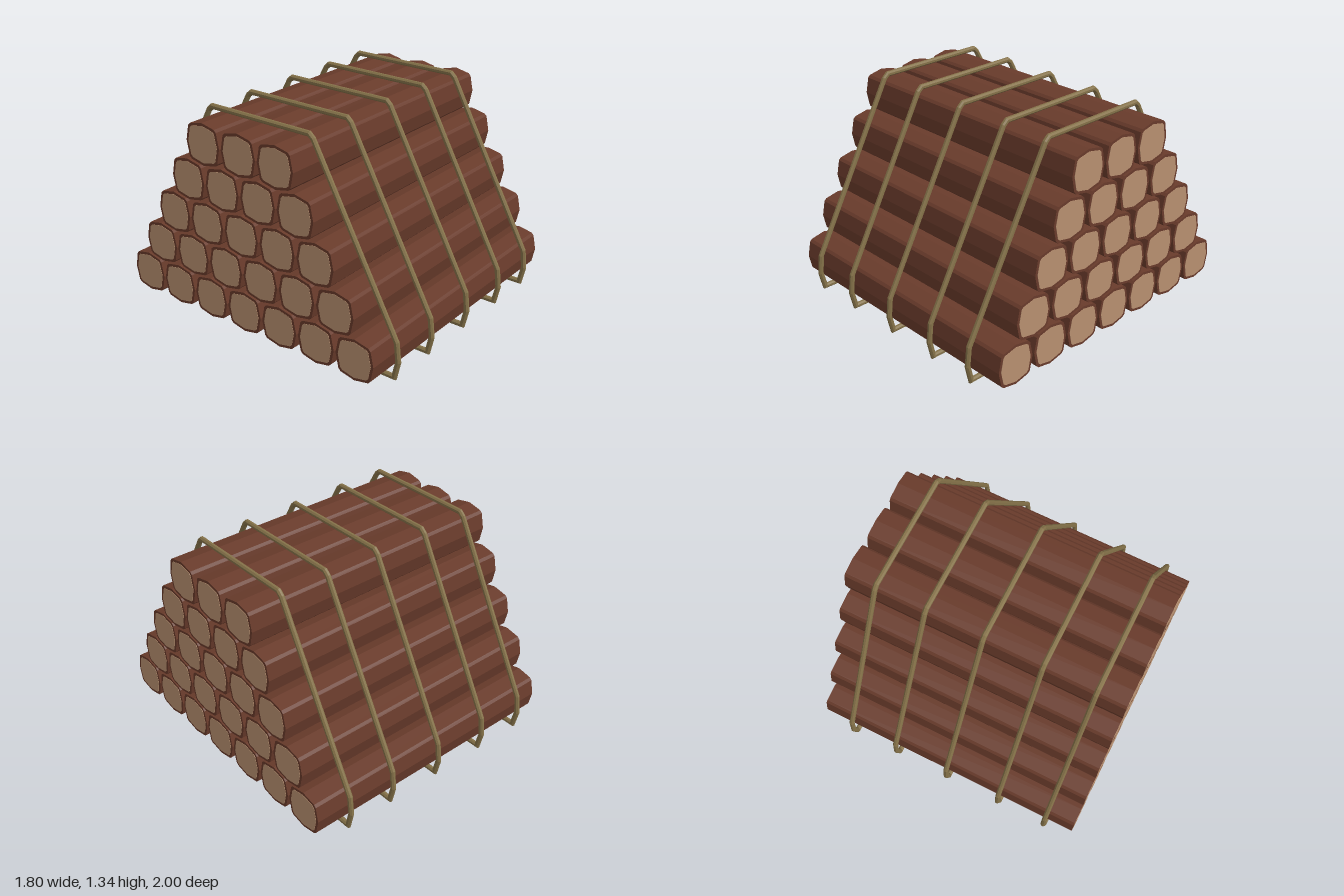
import * as THREE from 'three';

const bark = new THREE.MeshStandardMaterial({ color: 0x693b2b, flatShading: true });
const wood = new THREE.MeshStandardMaterial({ color: 0xb89070, flatShading: true });
const rope = new THREE.MeshStandardMaterial({ color: 0x857249, flatShading: true });

// Squarish log section: one quarter repeated four times
function logSection(scale) {
  const points = [];
  for (let q = 0; q < 4; q++) {
    for (const [x, y] of [[0.13, 0], [0.11, 0.095], [0.095, 0.11]]) {
      points.push(new THREE.Vector2(x, y).multiplyScalar(scale)
        .rotateAround(new THREE.Vector2(), q * Math.PI / 2));
    }
  }
  return new THREE.Shape(points);
}

// Prism running along x, centred on the origin
function prism(scale, length) {
  const geometry = new THREE.ExtrudeGeometry(logSection(scale), { depth: length, bevelEnabled: false });
  return geometry.translate(0, 0, -length / 2).rotateY(Math.PI / 2);
}

// Closed tube with mitred corners along a counter-clockwise loop of [z, y] points
function strapGeometry(path, radius, sides) {
  const positions = [], index = [], n = path.length;
  const pts = path.map(([z, y]) => new THREE.Vector2(z, y));
  const normal = (a, b) => new THREE.Vector2(b.y - a.y, a.x - b.x).normalize();
  pts.forEach((p, i) => {
    const before = normal(pts[(i + n - 1) % n], p);
    const after = normal(p, pts[(i + 1) % n]);
    const miter = before.clone().add(after).normalize();
    miter.divideScalar(miter.dot(after));
    for (let s = 0; s < sides; s++) {
      const a = (s + 0.5) / sides * Math.PI * 2;
      const out = Math.cos(a) * radius;
      positions.push(Math.sin(a) * radius, p.y + miter.y * out, p.x + miter.x * out);
      const t = (s + 1) % sides, j = (i + 1) % n;
      const A = i * sides + s, B = i * sides + t, C = j * sides + t, D = j * sides + s;
      index.push(A, B, C, A, C, D);
    }
  });
  const geometry = new THREE.BufferGeometry();
  geometry.setAttribute('position', new THREE.Float32BufferAttribute(positions, 3));
  geometry.setIndex(index);
  geometry.computeVertexNormals();
  return geometry;
}

export function createModel() {
  const model = new THREE.Group();
  model.name = 'logPile';

  // Stacked rows of logs, seven at the bottom and three on top
  const barkGeometry = prism(1, 1.796);
  const woodGeometry = prism(0.87, 1.8);
  for (let row = 0; row < 5; row++) {
    const count = 7 - row;
    for (let i = 0; i < count; i++) {
      const log = new THREE.Group();
      log.name = 'log';
      const outer = new THREE.Mesh(barkGeometry, bark);
      outer.name = 'bark';
      const inner = new THREE.Mesh(woodGeometry, wood);
      inner.name = 'cutWood';
      log.add(outer, inner);
      log.position.set(0, 0.17 + row * 0.248, (i - (count - 1) / 2) * 0.273);
      model.add(log);
    }
  }

  // Straps wrapped around the pile
  const half = [[0.32, 0.018], [0.96, 0.025], [0.984, 0.13], [0.97, 0.25], [0.392, 1.3], [0.365, 1.324]];
  const loop = [...half, ...half.map(([z, y]) => [-z, y]).reverse()];
  const strap = strapGeometry(loop, 0.017, 8);
  for (const x of [-0.715, -0.385, -0.01, 0.36, 0.685]) {
    const mesh = new THREE.Mesh(strap, rope);
    mesh.name = 'strap';
    mesh.position.x = x;
    model.add(mesh);
  }
  return model;
}
